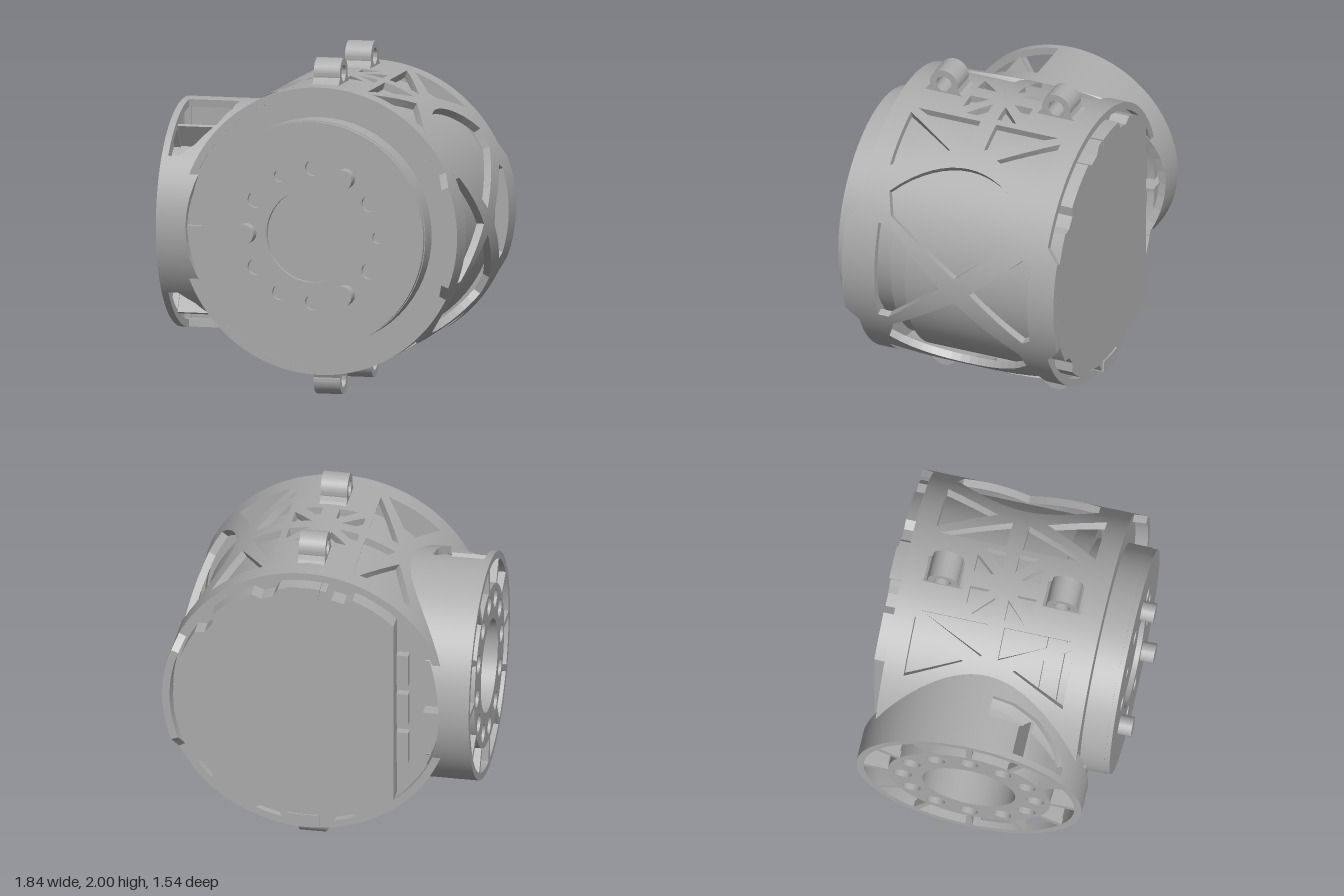
import * as THREE from 'three';
import { toCreasedNormals } from 'three/addons/utils/BufferGeometryUtils.js';

const CX = 0.06, CY = 1, CZ = -0.09, R = 0.855, PORT_R = 0.68, PI = Math.PI;
const V = (x, y) => new THREE.Vector2(x, y);

// Circle or sector window as a hole path
function circle(r, x = 0, y = 0) {
  return new THREE.Path().absarc(x, y, r, 0, PI * 2, true);
}
function sector(a, half, r0, r1) {
  const p = new THREE.Path();
  p.absarc(0, 0, r1, a - half, a + half, false);
  p.absarc(0, 0, r0, a + half, a - half, true);
  p.closePath();
  return p;
}
function discShape(r, holes = []) {
  const s = new THREE.Shape().absarc(0, 0, r, 0, PI * 2, false);
  s.holes.push(...holes);
  return s;
}
function extrude(shape, depth) {
  const g = new THREE.ExtrudeGeometry(shape, { depth, bevelEnabled: false, curveSegments: 48 });
  return toCreasedNormals(g, 0.5);
}

// Extrude a flat pattern (angle, length), split it finely in angle, then wrap it by a rule.
// The curved faces get radial normals and the cut edges get flat ones.
function wrap(shape, depth, rule) {
  const src = new THREE.ExtrudeGeometry(shape, { depth, bevelEnabled: false }).attributes.position;
  const p = [], stack = [], out = [], normals = [];
  for (let i = 0; i < src.count; i++) p.push(new THREE.Vector3().fromBufferAttribute(src, i));
  for (let i = 0; i < p.length; i += 3) stack.push([p[i], p[i + 1], p[i + 2]]);
  const at = (v, d) => new THREE.Vector3(...rule(v.x, v.y, d));
  while (stack.length) {
    const t = stack.pop();
    const d = [0, 1, 2].map(i => Math.abs(t[i].x - t[(i + 1) % 3].x));
    const k = d.indexOf(Math.max(...d));
    if (d[k] > 0.08) {
      const a = t[k], b = t[(k + 1) % 3], c = t[(k + 2) % 3];
      const m = a.clone().add(b).multiplyScalar(0.5);
      stack.push([a, m, c], [m, b, c]);
      continue;
    }
    const w = t.map(v => at(v, v.z));
    const flat = new THREE.Triangle(...w).getNormal(new THREE.Vector3());
    const cap = t[0].z === t[1].z && t[1].z === t[2].z;
    t.forEach((v, i) => {
      const n = cap ? at(v, 1).sub(at(v, 0)).multiplyScalar(v.z > 0 ? 1 : -1) : flat;
      out.push(...w[i].toArray());
      normals.push(...n.toArray());
    });
  }
  const g = new THREE.BufferGeometry();
  g.setAttribute('position', new THREE.Float32BufferAttribute(out, 3));
  g.setAttribute('normal', new THREE.Float32BufferAttribute(normals, 3));
  return g;
}

// Main shell pattern: angle runs from the top towards +x, length runs backwards
function shellShape() {
  const pts = [], lip = [[0.38, 0.605], [0.3, 0.68], [-0.3, 0.68], [-0.38, 0.605]];
  const side = y => PI / 2 - Math.asin(y / R);
  const notch = (base, s) => {
    for (let i = 0; i <= 20; i++) {
      const t = i / 20 * PI;
      pts.push(V(base + s * Math.asin(0.55 * Math.sin(t) / R), s * 0.55 * Math.cos(t)));
    }
  };
  pts.push(V(-PI / 2, -0.605));
  lip.forEach(([y, v]) => pts.push(V(side(y), -v)));
  pts.push(V(PI * 1.5, -0.605));
  notch(PI * 1.5, -1);
  pts.push(V(PI * 1.5, 0.605));
  lip.slice().reverse().forEach(([y, v]) => pts.push(V(side(y), v)));
  pts.push(V(-PI / 2, 0.605));
  notch(-PI / 2, 1);
  const shape = new THREE.Shape(pts);
  const hole = a => shape.holes.push(new THREE.Path(a));

  // Truss windows at the top and bottom
  const tris = [
    [[0.29, 0.48], [0.6, 0.48], [0.47, 0.15]],
    [[0.25, 0.45], [0.43, 0.05], [0.25, 0.05]],
    [[0.05, 0.2], [0.16, 0.2], [0.05, 0.08]],
    [[0.21, 0.16], [0.21, 0.04], [0.09, 0.04]],
  ];
  for (const base of [0, PI]) for (const sx of [1, -1]) for (const sz of [1, -1])
    for (const t of tris) hole(t.map(([u, v]) => V(base + sx * Math.asin(u / R), sz * v)));

  // Windows around the cross brace on the +x side
  hole([[0.32, -0.47], [0.32, -0.4], [0, -0.06], [-0.3, -0.4], [-0.3, -0.47]].map(([y, v]) => V(side(y), v)));
  hole([[0.28, 0.46], [0.25, 0.51], [-0.25, 0.51], [-0.28, 0.46], [0, 0.14]].map(([y, v]) => V(side(y), v)));
  for (const s of [1, -1]) {
    const arc = [V(side(s * 0.08), 0.04), V(side(s * 0.37), -0.4)];
    for (let i = 0; i <= 16; i++) {
      const v = -0.44 + i * 0.055;
      arc.push(V(side(s * Math.sqrt(0.66 ** 2 - v * v)), v));
    }
    arc.push(V(side(s * 0.39), 0.42));
    hole(arc);
  }
  return shape;
}

// Side port wall: angle runs from the top towards the front, length runs along x
function portShape() {
  const pts = [V(-PI, -0.92), V(PI, -0.92)];
  for (let i = 48; i >= 0; i--) {
    const a = -PI + i / 48 * PI * 2;
    pts.push(V(a, CX - Math.sqrt(0.8 ** 2 - (0.66 * Math.cos(a)) ** 2)));
  }
  const shape = new THREE.Shape(pts);
  const win = [[0.1, -0.88], [0.1, -0.57], [0.3, -0.58], [0.55, -0.63], [0.8, -0.73], [0.93, -0.82], [0.93, -0.88]];
  shape.holes.push(new THREE.Path(win.map(([a, x]) => V(a, x))));
  shape.holes.push(new THREE.Path(win.map(([a, x]) => V(PI - a, x))));
  return shape;
}

export function createModel() {
  const model = new THREE.Group();
  const grey = new THREE.MeshStandardMaterial({ color: 0xacacac, side: THREE.DoubleSide });
  grey.name = 'machined grey';
  const add = (name, geo, x = 0, y = 0, z = 0) => {
    const m = new THREE.Mesh(geo, grey);
    m.name = name;
    m.position.set(x, y, z);
    model.add(m);
    return m;
  };
  // Cylinder along z between two depths
  const drum = (name, r, z0, z1, x = CX, y = CY, seg = 64) =>
    add(name, new THREE.CylinderGeometry(r, r, z1 - z0, seg).rotateX(PI / 2), x, y, (z0 + z1) / 2);

  // Trussed housing
  const wall = 0.045;
  add('housingShell', wrap(shellShape(), wall, (a, v, d) => {
    const r = R - wall + d;
    return [CX + r * Math.sin(a), CY + r * Math.cos(a), CZ - v];
  }));
  add('frontRing', extrude(discShape(0.82, [circle(0.6)]), 0.05), CX, CY, 0.463);

  // Motor inside the housing
  drum('motorBody', 0.78, -0.57, 0.22);
  drum('motorCollar', 0.73, 0.22, 0.33);
  drum('motorNeck', 0.67, 0.33, 0.47);

  // Front output flange with bolt holes and three dowel pins
  drum('flangeBody', 0.68, 0.47, 0.66);
  const radii = [0.035, 0.048, 0, 0.045, 0.035, 0.048];
  const holes = [circle(0.28)];
  for (let i = 0; i < 12; i++) {
    const a = i * PI / 6, x = 0.4 * Math.cos(a), y = 0.4 * Math.sin(a);
    if (i === 2 || i === 6 || i === 10) drum('dowelPin', 0.06, 0.66, 0.77, CX + x, CY + y, 16);
    else holes.push(circle(radii[i % 6] || 0.045, x, y));
  }
  add('flangePlate', extrude(discShape(0.675, holes), 0.03), CX, CY, 0.66);

  // Side port wall, face, hub and ribs
  add('portWall', wrap(portShape(), wall, (a, v, d) => {
    const r = PORT_R - wall + d;
    return [v, CY + r * Math.cos(a), CZ + r * Math.sin(a)];
  }));
  const portHoles = [circle(0.28)];
  for (let i = 0; i < 12; i++) {
    const a = i * PI / 6;
    portHoles.push(circle(0.055, 0.4 * Math.cos(a), 0.4 * Math.sin(a)));
    portHoles.push(sector(a + PI / 12, 0.23, 0.49, 0.65));
    const rib = add('portRib', new THREE.BoxGeometry(0.25, 0.15, 0.02).translate(0, 0.57, 0), -0.765, CY, CZ);
    rib.rotation.x = a;
  }
  add('portFace', extrude(discShape(PORT_R, portHoles), 0.04).rotateY(-PI / 2), -0.88, CY, CZ);
  for (const [name, r] of [['portHub', 0.28], ['portDrum', 0.49]])
    add(name, new THREE.CylinderGeometry(r, r, 0.27, 48, 1, true).rotateZ(PI / 2), -0.765, CY, CZ);

  // Back cover: notched disc with a flat side
  const cover = [];
  const notches = [0.7, 1.25, 1.85, 4.4, 5.0, 5.6];
  for (let i = 0; i < 120; i++) {
    const a = i / 120 * PI * 2;
    const r = notches.some(n => Math.abs(a - n) < 0.08) ? 0.745 : 0.79;
    cover.push(V(Math.max(-0.53, r * Math.cos(a)), r * Math.sin(a)));
  }
  add('backCover', extrude(new THREE.Shape(cover), 0.13), CX, CY, -0.762);
  drum('backFloor', 0.815, -0.65, -0.62);
  for (const a of [1.55, 4.73])
    add('coverTab', extrude(new THREE.Shape(sector(a, 0.13, 0.73, 0.8).getPoints(8)), 0.12), CX, CY, -0.772);

  // Connectors beside the flat side of the cover
  for (let i = -1; i <= 1; i++)
    add('connector', new THREE.BoxGeometry(0.07, 0.2, 0.06), -0.51, CY + i * 0.26, -0.67);

  // Mounting eyelets, two above and two below
  const eye = new THREE.Shape([V(-0.13, -0.1), V(0.13, -0.1), V(0.13, -0.065), V(0.1, -0.045)]);
  eye.absarc(0, 0, 0.09, -0.2, PI + 0.2, false);
  eye.lineTo(-0.1, -0.045);
  eye.lineTo(-0.13, -0.065);
  eye.holes.push(circle(0.049));
  const eyeGeo = extrude(eye, 0.16).translate(0, 0, -0.08).rotateY(PI / 2);
  for (const z of [0.27, -0.45]) {
    add('topEyelet', eyeGeo, CX, 1.91, z);
    add('bottomEyelet', eyeGeo, CX, 0.09, z).rotation.x = PI;
  }
  return model;
}
